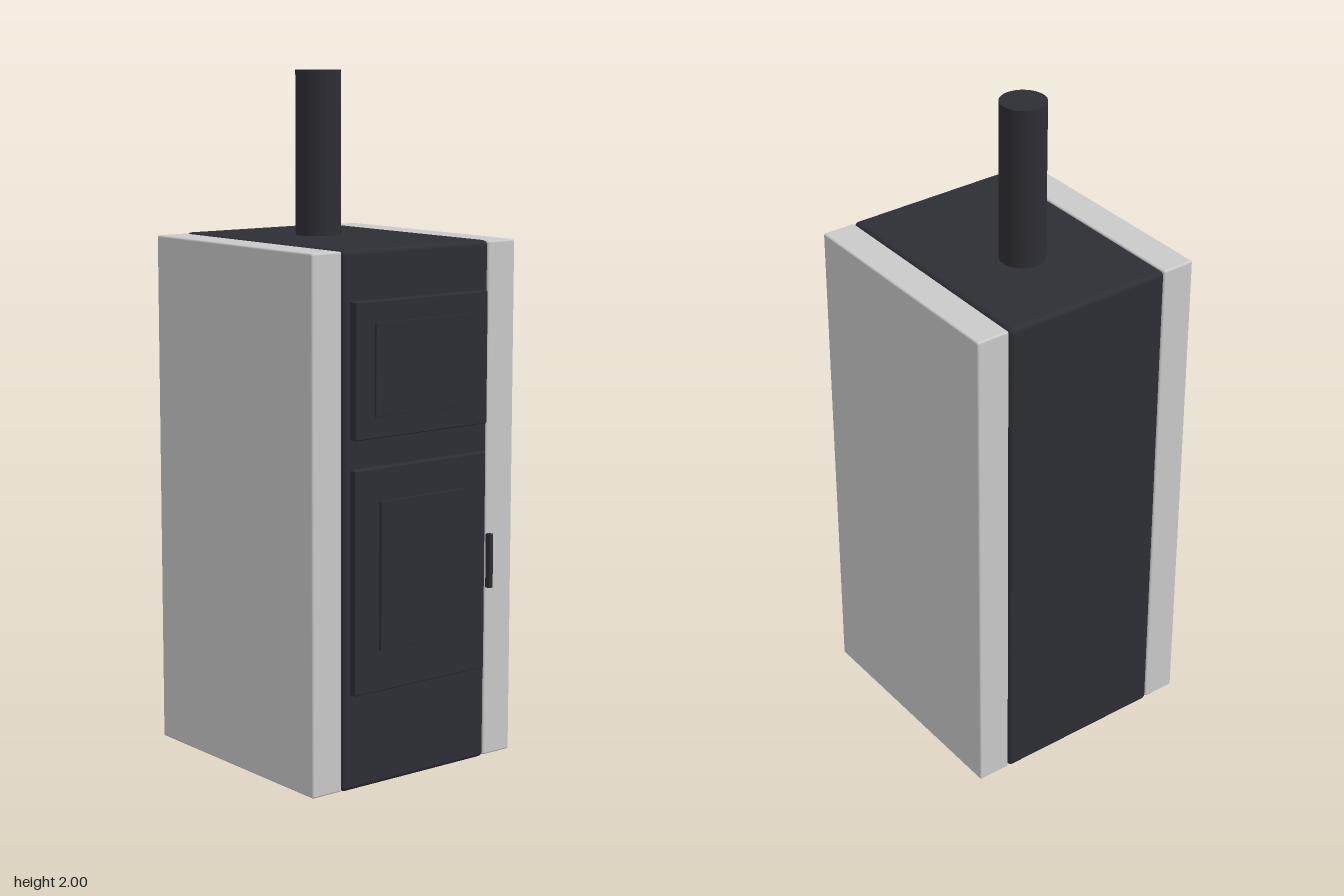
import * as THREE from 'three';
import { RoundedBoxGeometry } from 'three/addons/geometries/RoundedBoxGeometry.js';

export function createModel() {
  const model = new THREE.Group();
  model.name = 'stove';

  const iron = new THREE.MeshStandardMaterial({ color: 0x2d2d35 });
  iron.name = 'dark iron';
  const stone = new THREE.MeshStandardMaterial({ color: 0xc9c9c9 });
  stone.name = 'light stone';

  // Rounded block given by its lower and upper corners
  function block(name, material, min, max, radius, parent = model) {
    const [w, h, d] = max.map((v, i) => v - min[i]);
    const mesh = new THREE.Mesh(new RoundedBoxGeometry(w, h, d, 3, radius), material);
    mesh.position.set(...max.map((v, i) => (v + min[i]) / 2));
    mesh.name = name;
    parent.add(mesh);
    return mesh;
  }

  // Central body
  block('body', iron, [-0.265, 0, -0.397], [0.265, 1.525, 0.353], 0.015);

  // Side cladding, mirrored
  for (const side of [-1, 1]) {
    const x = [side * 0.265, side * 0.368].sort((a, b) => a - b);
    block(side > 0 ? 'leftPanel' : 'rightPanel', stone,
      [x[0], 0.003, -0.392], [x[1], 1.522, 0.349], 0.006);
  }

  // Doors, each a frame with a raised pane
  const doors = [
    { name: 'upperDoor', y: [1.003, 1.385], front: 0.379, paneX: 0.173, paneY: [1.064, 1.325] },
    { name: 'lowerDoor', y: [0.28, 0.92], front: 0.376, paneX: 0.153, paneY: [0.4, 0.825] },
  ];
  for (const { name, y, front, paneX, paneY } of doors) {
    const door = new THREE.Group();
    door.name = name;
    model.add(door);
    block('doorFrame', iron, [-0.24, y[0], 0.345], [0.24, y[1], front], 0.004, door);
    block('doorPane', iron, [-paneX, paneY[0], 0.37], [paneX, paneY[1], 0.384], 0.001, door);
  }

  // Door handle
  block('doorHandle', iron, [0.243, 0.52, 0.375], [0.258, 0.68, 0.393], 0.002);

  // Flue pipe
  const flue = new THREE.Mesh(new THREE.CylinderGeometry(0.066, 0.066, 0.5, 48), iron);
  flue.position.set(0, 1.75, -0.097);
  flue.name = 'fluePipe';
  model.add(flue);

  return model;
}
